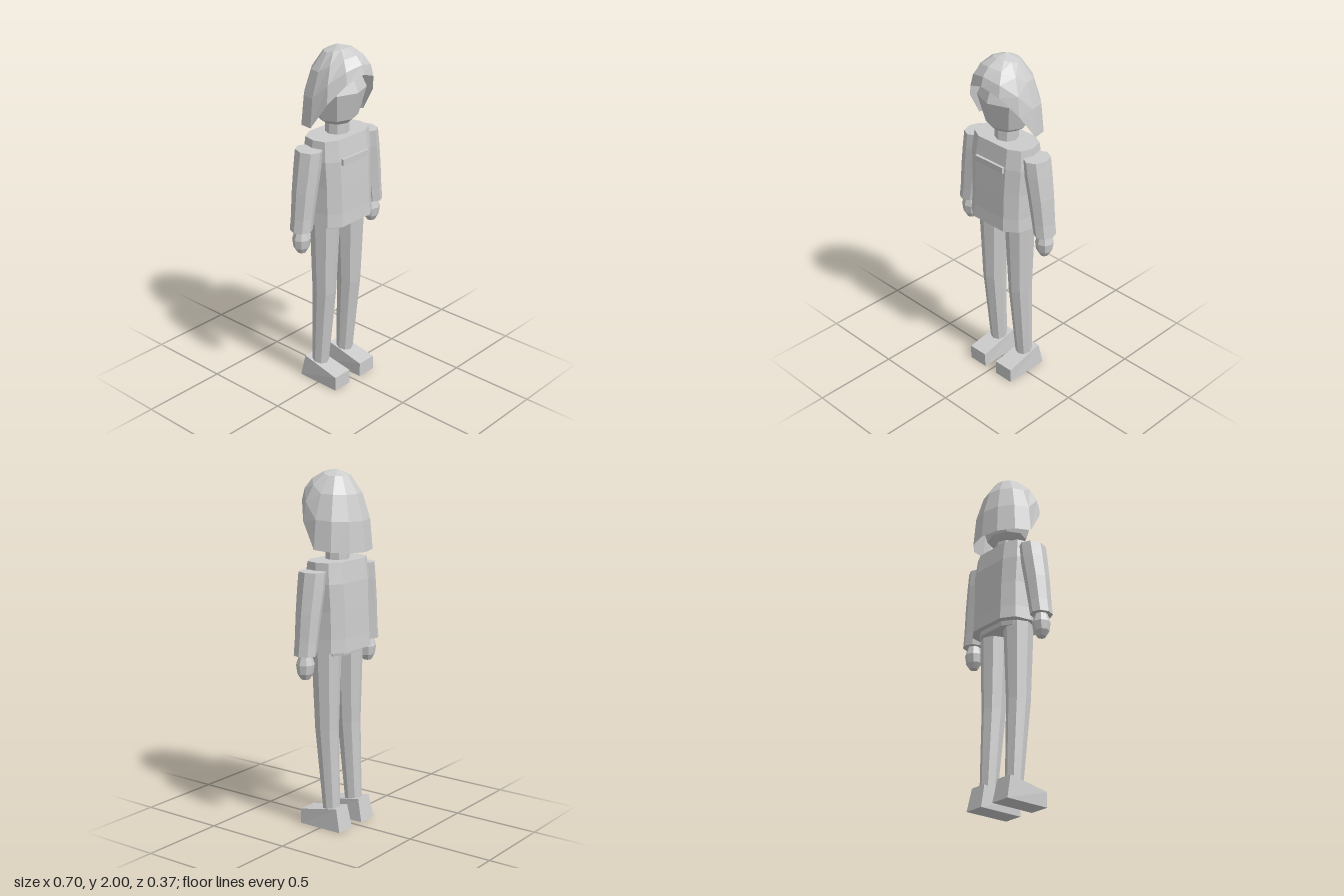
import * as THREE from 'three';

const gray = new THREE.MeshStandardMaterial({ color: 0xcccccc, flatShading: true });
const grayShell = new THREE.MeshStandardMaterial({ color: 0xcccccc, flatShading: true, side: THREE.DoubleSide });

// Skins a stack of point rings, listed bottom to top, each counterclockwise from above
function skin(rings, capBottom = true, capTop = true) {
  const n = rings[0].length;
  const pos = rings.flat(2);
  const idx = [];
  for (let i = 0; i < rings.length - 1; i++) {
    for (let j = 0; j < n; j++) {
      const a = i * n + j, b = i * n + (j + 1) % n;
      idx.push(a, b, b + n, a, b + n, a + n);
    }
  }
  const last = (rings.length - 1) * n;
  for (let j = 1; j < n - 1; j++) {
    if (capBottom) idx.push(0, j + 1, j);
    if (capTop) idx.push(last, last + j, last + j + 1);
  }
  const indexed = new THREE.BufferGeometry();
  indexed.setAttribute('position', new THREE.Float32BufferAttribute(pos, 3));
  indexed.setIndex(idx);
  const geo = indexed.toNonIndexed();
  geo.computeVertexNormals();
  return geo;
}

const circle = (n) => Array.from({ length: n }, (_, j) => {
  const a = j / n * Math.PI * 2;
  return [Math.sin(a), Math.cos(a)];
});

// Loft of one outline; every section is [y, centre x, centre z, half width, half depth]
const loft = (sections, outline = circle(8)) =>
  skin(sections.map(([y, cx, cz, rx, rz]) => outline.map(([u, v]) => [cx + u * rx, y, cz + v * rz])));

export function createModel() {
  const model = new THREE.Group();
  const add = (name, geo, mat = gray) => {
    const mesh = new THREE.Mesh(geo, mat);
    mesh.name = name;
    model.add(mesh);
    return mesh;
  };

  // Hair: open dome whose lower edge sweeps from the forehead down to the nape
  const hairRings = [];
  for (let k = 4; k >= 0; k--) {
    const t = k / 4 * Math.PI / 2;
    const r = Math.max(Math.sin(t), 0.002);
    hairRings.push(circle(12).map(([u, v]) => {
      const edge = v > 0 ? 1.585 + 0.285 * v : 1.585 + 0.02 * v;
      return [0.21 * r * u, 2 - (2 - edge) * (1 - Math.cos(t)), 0.186 * r * v];
    }));
  }
  add('hair', skin(hairRings, false, true), grayShell);

  // Head and neck
  add('head', loft([
    [1.575, 0, 0, 0.075, 0.07],
    [1.605, 0, 0, 0.12, 0.105],
    [1.76, 0, 0, 0.168, 0.147],
    [1.88, 0, 0, 0.11, 0.1],
    [1.93, 0, 0, 0.03, 0.03],
  ]));
  add('neck', loft([[1.48, 0, 0, 0.067, 0.065], [1.62, 0, 0, 0.067, 0.065]]));

  // Jacket with broad flat front and back
  const chest = [[-0.55, 1], [0.55, 1], [0.9, 0.66], [1, 0], [0.9, -0.66], [0.55, -1], [-0.55, -1], [-0.9, -0.66], [-1, 0], [-0.9, 0.66]];
  add('jacket', loft([
    [1.025, 0, 0, 0.205, 0.144],
    [1.1, 0, 0, 0.2, 0.138],
    [1.25, 0, 0, 0.198, 0.132],
    [1.4, 0, 0, 0.205, 0.124],
    [1.515, 0, 0, 0.195, 0.106],
  ], chest));
  const pocket = add('chestPocket', new THREE.BoxGeometry(0.207, 0.035, 0.034));
  pocket.position.set(0, 1.395, 0.121);

  // Hips showing just below the jacket hem
  add('hips', loft([[1, 0, 0, 0.155, 0.11], [1.1, 0, 0, 0.18, 0.12]], chest));

  // Paired limbs
  const sole = [[-1, 1], [1, 1], [1, -1], [-1, -1]];
  for (const [side, s] of [['left', 1], ['right', -1]]) {
    add(side + 'Leg', loft([
      [0.1, s * 0.104, -0.038, 0.048, 0.048],
      [0.58, s * 0.103, -0.005, 0.063, 0.07],
      [1.06, s * 0.1, 0, 0.083, 0.087],
    ]));
    add(side + 'Arm', loft([
      [1.025, s * 0.29, 0, 0.058, 0.065],
      [1.1, s * 0.278, 0, 0.06, 0.066],
      [1.25, s * 0.257, 0, 0.067, 0.073],
      [1.38, s * 0.235, 0, 0.07, 0.08],
      [1.472, s * 0.223, 0, 0.066, 0.082],
    ]));
    add(side + 'Hand', loft([
      [0.893, s * 0.288, 0, 0.024, 0.024],
      [0.925, s * 0.288, 0, 0.046, 0.042],
      [0.975, s * 0.288, 0, 0.052, 0.05],
      [1.03, s * 0.288, 0, 0.034, 0.034],
    ]));

    // Wedge shoe: tall heel sloping down to the toe
    const shoe = skin([
      sole.map(([u, v]) => [s * 0.105 + u * 0.06, 0, v * 0.136]),
      sole.map(([u, v]) => [s * 0.105 + u * (v > 0 ? 0.06 : 0.052), v > 0 ? 0.085 : 0.132, v > 0 ? 0.136 : -0.108]),
    ]);
    add(side + 'Shoe', shoe);
  }
  return model;
}
